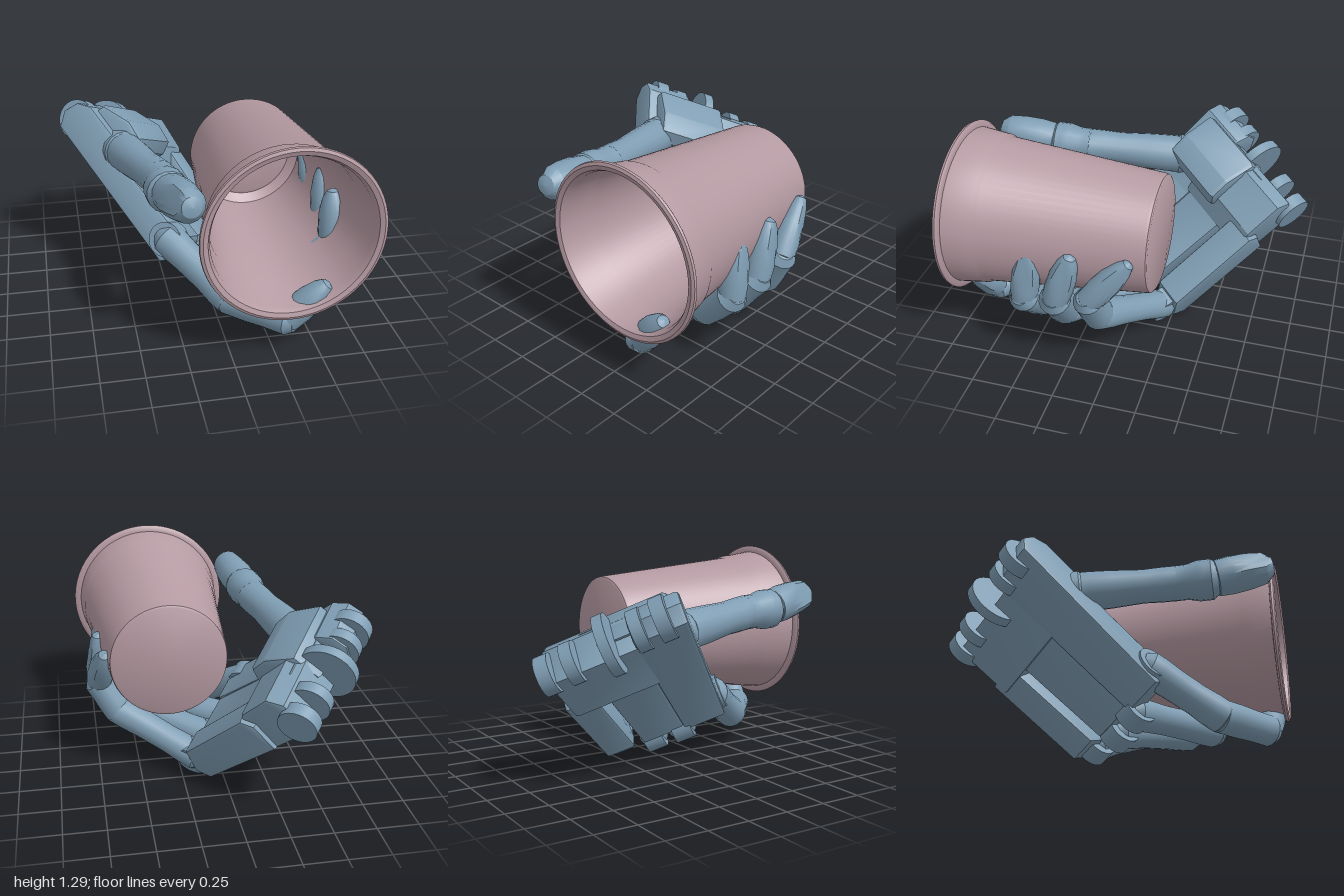
import * as THREE from 'three';
import { toCreasedNormals } from 'three/addons/utils/BufferGeometryUtils.js';

const cupMat = new THREE.MeshStandardMaterial({ color: 0xb59aa2 });
const handMat = new THREE.MeshStandardMaterial({ color: 0x7f9db3 });
const V = (a) => new THREE.Vector3(...a);
const CUP = V([0.315, 0.775, 0]); // cup axis, running along z

// Palm frame: x from wrist to knuckles, y out of the palm, z towards the index finger
const L = V([0.436, -0.622, 0.65]).normalize();
const N = V([0.715, 0.673, 0.165]).normalize();
const palmFrame = new THREE.Matrix4().makeBasis(L, N, L.clone().cross(N));

function part(name, geometry, material = handMat, crease = 0.55) {
  const mesh = new THREE.Mesh(toCreasedNormals(geometry, crease), material);
  mesh.name = name;
  return mesh;
}

// Slab: side profile (length, height) extruded across the palm from z0 to z1,
// narrowing on the index side towards the knuckles
function slab(name, profile, z0, z1, bevel = 0.018) {
  const shape = new THREE.Shape(profile.map((p) => new THREE.Vector2(...p)));
  const geo = new THREE.ExtrudeGeometry(shape, {
    depth: z1 - z0 - 2 * bevel, bevelEnabled: true, bevelThickness: bevel,
    bevelSize: bevel, bevelOffset: -bevel, bevelSegments: 2,
  });
  geo.translate(0, 0, z0 + bevel);
  const pos = geo.attributes.position;
  for (let i = 0; i < pos.count; i++) {
    const z = pos.getZ(i);
    if (z > 0) pos.setZ(i, z * (1 - 0.13 * (pos.getX(i) + 1.15)));
  }
  return part(name, geo);
}

// Hinge disc lying across the palm, centred on a world point
function disc(name, centre, r, width) {
  const geo = new THREE.CylinderGeometry(r, r, width, 32).rotateX(Math.PI / 2);
  const mesh = part(name, geo);
  mesh.position.copy(V(centre).applyMatrix4(palmFrame.clone().invert()));
  return mesh;
}

// Finger bone from a to b; a tip tapers and has a flat nail on its outer side
function bone(name, a, b, ra, rb, isTip = false, waist = 0.93) {
  const from = V(a), dir = V(b).sub(from), len = dir.length();
  dir.normalize();
  const profile = isTip
    ? [[0, -0.5 * ra], [0.6 * ra, -0.4 * ra], [0.95 * ra, 0], [ra, 0.25 * len], [0.95 * ra, 0.55 * len],
      [rb, 0.82 * len], [0.6 * rb, 0.95 * len], [0, len]]
    : [[0, -0.75 * ra], [0.65 * ra, -0.6 * ra], [ra, -0.1 * ra], [ra, 0.12 * len], [waist * ra, 0.33 * len],
      [waist * rb, 0.66 * len], [rb, 0.86 * len], [rb, len + 0.1 * rb], [0.65 * rb, len + 0.6 * rb], [0, len + 0.75 * rb]];
  const geo = new THREE.LatheGeometry(profile.map((p) => new THREE.Vector2(...p)), 16);
  if (isTip) {
    const pos = geo.attributes.position;
    for (let i = 0; i < pos.count; i++) {
      const t = pos.getY(i) / len;
      if (t > 0.4) pos.setZ(i, Math.min(pos.getZ(i), ra * (0.78 - 0.5 * (t - 0.4))));
    }
  }
  const mesh = part(name, geo);
  const out = from.clone().addScaledVector(dir, len / 2).sub(CUP).setZ(0);
  out.addScaledVector(dir, -out.dot(dir)).normalize();
  mesh.applyMatrix4(new THREE.Matrix4().makeBasis(dir.clone().cross(out), dir, out).setPosition(from));
  return mesh;
}

function buildCup() {
  const profile = [
    [0, -0.222], [0.335, -0.222], [0.348, -0.215], [0.353, -0.2],
    [0.44, 0.755], [0.453, 0.78], [0.474, 0.95], [0.505, 0.953], [0.515, 0.963], [0.512, 0.977],
    [0.495, 0.984], [0.468, 0.975], [0.452, 0.94], [0.438, 0.78], [0.425, 0.755],
    [0.335, -0.13], [0.285, -0.17], [0.27, -0.165], [0.15, -0.17], [0, -0.175],
  ].map((p) => new THREE.Vector2(...p));
  const cup = part('cup', new THREE.LatheGeometry(profile, 64).rotateX(Math.PI / 2), cupMat, 0.7);
  cup.position.copy(CUP);
  return cup;
}

function buildPalm() {
  const palm = new THREE.Group();
  palm.name = 'palm';
  palm.applyMatrix4(palmFrame);

  // Plates running from the wrist to the knuckles
  palm.add(
    slab('indexPlate', [[-1.2, -0.01], [-0.14, 0.02], [-0.09, 0.12], [-0.17, 0.23], [-0.7, 0.19], [-0.85, 0.25],
      [-1.16, 0.24], [-1.24, 0.18], [-1.26, 0.08]], 0.27, 0.58),
    slab('middlePlate', [[-1.14, 0.01], [-0.16, 0.03], [-0.11, 0.12], [-0.18, 0.22], [-0.75, 0.19], [-0.88, 0.26],
      [-1.12, 0.26]], -0.04, 0.275),
    slab('littlePlate', [[-0.84, 0.01], [-0.18, 0.02], [-0.13, 0.11], [-0.22, 0.26], [-0.82, 0.27], [-0.87, 0.2]], -0.28, -0.09),
    slab('wristBlock', [[-1.14, 0.0], [-0.76, 0.0], [-0.72, 0.2], [-0.84, 0.29], [-1.08, 0.3], [-1.15, 0.22]], -0.25, 0.3),
    slab('thumbMount', [[-1.16, 0.1], [-0.82, 0.1], [-0.78, 0.28], [-0.82, 0.36], [-0.95, 0.37], [-1.14, 0.29]], 0.06, 0.52, 0.03),
  );

  // Row of hinge discs across the wrist: position along the row, radius, width
  const a = [-0.715, 0.98, -0.42], b = [-0.3, 0.66, -0.895];
  for (const [t, r, w] of [[0, 0.125, 0.08], [0.2, 0.12, 0.07], [0.46, 0.175, 0.06], [0.78, 0.12, 0.07], [1, 0.115, 0.08]]) {
    palm.add(disc('wristDisc', a.map((v, i) => v + (b[i] - v) * t), r, w));
  }
  return palm;
}

export function createModel() {
  const model = new THREE.Group();
  model.name = 'handHoldingCup';
  const palm = buildPalm();
  model.add(buildCup(), palm);

  // Each finger: knuckle, two joints and the tip, then the joint radii
  const fingers = {
    index: { path: [[-0.25, 0.42, 0.23], [0.05, 0.2, 0.6], [0.33, 0.185, 0.85], [0.55, 0.43, 0.9]], r: [0.104, 0.102, 0.096, 0.06] },
    middle: { path: [[-0.09, 0.21, 0.11], [0.49, 0.27, 0.48], [0.69, 0.45, 0.51], [0.69, 0.79, 0.46]], r: [0.098, 0.1, 0.095, 0.06] },
    ring: { path: [[0.03, 0.14, -0.02], [0.53, 0.27, 0.32], [0.71, 0.48, 0.31], [0.71, 0.82, 0.2]], r: [0.095, 0.1, 0.095, 0.06] },
    little: { path: [[0.16, 0.12, -0.2], [0.61, 0.34, 0.08], [0.725, 0.53, 0.1], [0.69, 0.82, -0.14]], r: [0.092, 0.095, 0.09, 0.055] },
  };
  for (const [name, { path, r }] of Object.entries(fingers)) {
    const finger = new THREE.Group();
    finger.name = name + 'Finger';
    finger.add(
      bone(name + 'Proximal', path[0], path[1], r[0], r[1]),
      bone(name + 'Middle', path[1], path[2], r[1], r[2], false, 1),
      bone(name + 'Tip', path[2], path[3], 0.9 * r[2], r[3], true),
    );
    model.add(finger);
    palm.add(disc(name + 'Knuckle', path[0], 0.105, 0.12));
  }

  // Thumb: socket, long bone with a narrow waist, and tip
  const thumb = new THREE.Group();
  thumb.name = 'thumb';
  thumb.add(
    bone('thumbSocket', [-0.52, 0.84, -0.33], [-0.47, 0.86, -0.15], 0.13, 0.125, false, 1),
    bone('thumbBone', [-0.465, 0.86, -0.14], [-0.325, 0.92, 0.42], 0.118, 0.105, false, 0.96),
    bone('thumbJoint', [-0.325, 0.92, 0.42], [-0.305, 0.93, 0.62], 0.105, 0.122, false, 1),
    bone('thumbTip', [-0.295, 0.94, 0.66], [-0.235, 1.01, 1.0], 0.115, 0.095, true),
  );
  model.add(thumb);
  return model;
}
